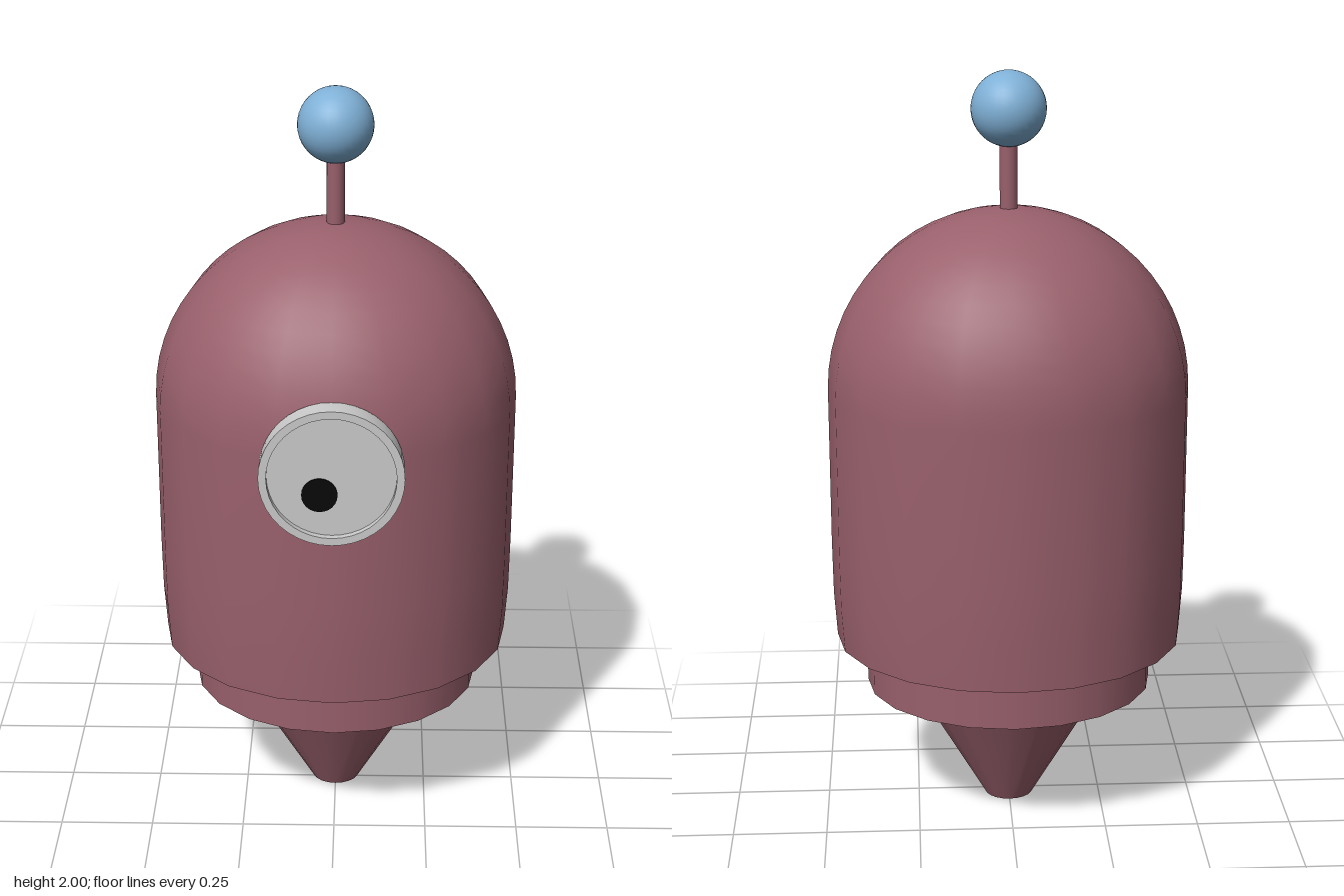
import * as THREE from 'three';
import { toCreasedNormals } from 'three/addons/utils/BufferGeometryUtils.js';

const SIDES = 20;
const AXIS_Z = -0.018;
const DEPTH = 0.905; // the shell is slightly flattened front to back

export function createModel() {
  const model = new THREE.Group();
  const material = (color) => new THREE.MeshStandardMaterial({ color });
  const red = material(0x99606c);
  const blue = material(0x7fb0d6);
  const grey = material(0xcccccc);
  const black = material(0x080808);

  const add = (name, geometry, mat, x, y, z, parent = model) => {
    const mesh = new THREE.Mesh(geometry, mat);
    mesh.name = name;
    mesh.position.set(x, y, z);
    parent.add(mesh);
    return mesh;
  };
  const lathe = (points, sides) => toCreasedNormals(
    new THREE.LatheGeometry(points.map(([r, y]) => new THREE.Vector2(r, y)), sides), 0.7);

  // Shell parts share the elliptical cross-section
  const shell = new THREE.Group();
  shell.name = 'shell';
  shell.position.z = AXIS_Z;
  shell.scale.z = DEPTH;
  model.add(shell);

  // Body: flat base, slight taper at the foot, round dome on top
  const bodyProfile = [[0, 0.48], [0.465, 0.48], [0.473, 0.6], [0.475, 0.75], [0.475, 1.17]];
  const domeSteps = 14;
  for (let i = 1; i <= domeSteps; i++) {
    const a = (i / domeSteps) * Math.PI / 2;
    bodyProfile.push([i === domeSteps ? 0 : 0.475 * Math.cos(a), 1.17 + 0.48 * Math.sin(a)]);
  }
  add('body', lathe(bodyProfile, SIDES), red, 0, 0, 0, shell);

  // Stepped collar and nozzle below
  add('collar', new THREE.CylinderGeometry(0.385, 0.385, 0.145, SIDES), red, 0, 0.4175, 0, shell);
  add('nozzle', new THREE.CylinderGeometry(0.265, 0.064, 0.345, SIDES), red, 0, 0.1725, 0, shell);

  // Antenna
  add('antennaStalk', new THREE.CylinderGeometry(0.023, 0.023, 0.25, 16), red, 0, 1.72, AXIS_Z);
  add('antennaBall', new THREE.SphereGeometry(0.097, 32, 20), blue, 0, 1.903, AXIS_Z);

  // Eye: raised rim around a recessed disc, with an off-centre pupil
  const eye = new THREE.Group();
  eye.name = 'eye';
  eye.position.set(-0.002, 1.14, 0.388);
  eye.rotation.x = Math.PI / 2;
  model.add(eye);
  const eyeProfile = [[0, 0], [0.181, 0], [0.181, 0.058], [0.161, 0.058], [0.161, 0.04], [0, 0.04]];
  add('eyeDisc', lathe(eyeProfile, 40), grey, 0, 0, 0, eye);
  add('pupil', new THREE.CylinderGeometry(0.045, 0.045, 0.01, 24), black, -0.03, 0.039, 0.05, eye);

  return model;
}
